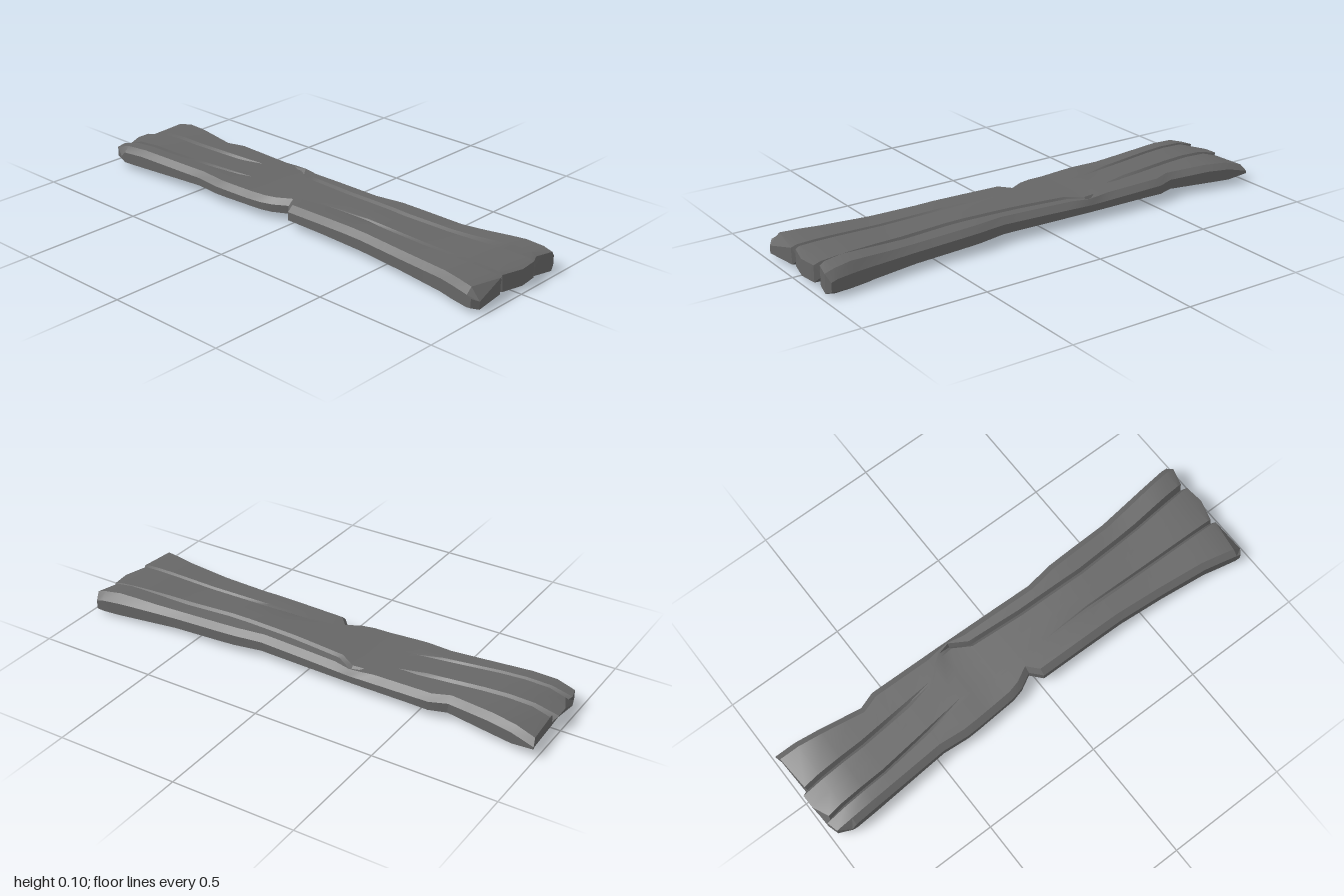
import * as THREE from 'three';
import { toCreasedNormals } from 'three/addons/utils/BufferGeometryUtils.js';

// Piecewise-linear lookup through [position, value] pairs
function curve(...pairs) {
  return t => {
    if (t <= pairs[0][0]) return pairs[0][1];
    for (let i = 1; i < pairs.length; i++) {
      const [a, va] = pairs[i - 1], [b, vb] = pairs[i];
      if (t <= b) return va + (vb - va) * (t - a) / (b - a);
    }
    return pairs[pairs.length - 1][1];
  };
}

// Outline of the plank along its length
const leftEdge = curve([-0.97, -0.2], [-0.88, -0.2], [-0.47, -0.17], [-0.35, -0.18], [-0.1, -0.163],
  [-0.02, -0.12], [0.02, -0.165], [0.4, -0.17], [0.6, -0.185], [0.8, -0.207], [0.95, -0.24]);
const rightEdge = curve([-0.97, 0.21], [-0.88, 0.2], [-0.62, 0.16], [-0.55, 0.185], [-0.22, 0.182],
  [0, 0.175], [0.2, 0.168], [0.33, 0.187], [0.6, 0.195], [0.95, 0.236]);
const topY = curve([-1, 0.07], [-0.95, 0.09], [-0.8, 0.099], [-0.55, 0.092], [-0.2, 0.085], [0, 0.09],
  [0.3, 0.095], [0.6, 0.089], [0.85, 0.092], [0.94, 0.088], [1, 0.08]);
const bottomY = curve([-1, 0.03], [-0.93, 0.018], [-0.5, 0.028], [0.2, 0.026], [0.6, 0.016], [0.9, 0.008], [1, 0.014]);

// Ragged ends: z as a function of x
const backEnd = curve([-0.2, -0.92], [-0.18, -0.97], [-0.13, -0.985], [-0.115, -0.955], [-0.095, -0.985], [0, -1],
  [0.02, -0.99], [0.032, -0.965], [0.05, -0.985], [0.12, -0.99], [0.15, -0.965], [0.2, -0.99]);
const frontEnd = curve([-0.24, 0.96], [-0.2, 0.992], [-0.09, 0.975], [-0.06, 0.95], [-0.04, 0.975],
  [0.1, 0.982], [0.13, 0.95], [0.165, 0.997], [0.235, 0.968]);

// Cracks: centre x, depth and half width along z; two on each face
const crack = (x, depth, halfWidth) => ({ x: curve(...x), depth: curve(...depth), halfWidth });
const topCracks = [
  crack([[-0.97, -0.115], [-0.7, -0.1], [-0.3, -0.05], [0, -0.06], [0.3, -0.05], [0.6, -0.055], [0.97, -0.062]],
    [[-0.95, 0.028], [-0.6, 0.02], [-0.3, 0], [0.05, 0], [0.3, 0.004], [0.5, 0.014], [0.95, 0.024]], 0.014),
  crack([[-0.97, 0.028], [-0.7, 0.038], [-0.36, 0.07], [-0.26, 0.15], [-0.2, 0.155], [-0.13, 0.112], [0.1, 0.095],
    [0.4, 0.088], [0.7, 0.103], [0.97, 0.127]],
    [[-0.95, 0.028], [-0.6, 0.02], [-0.36, 0], [-0.25, 0], [-0.2, 0.022], [0.4, 0.02], [0.95, 0.03]], 0.016),
];
const bottomCracks = [
  crack([[-0.97, -0.165], [-0.1, -0.125], [0, -0.12], [0.3, -0.09], [0.97, -0.06]],
    [[-0.1, 0], [0, 0.016], [0.9, 0.016]], 0.014),
  crack([[-0.97, -0.115], [-0.4, -0.055], [0, 0.01], [0.5, 0.075], [0.97, 0.127]],
    [[-0.97, 0.016], [0.9, 0.02]], 0.016),
];

const stations = [-1, -0.9, -0.8, -0.7, -0.62, -0.55, -0.47, -0.36, -0.3, -0.25, -0.2, -0.13, -0.08, -0.02,
  0.02, 0.1, 0.2, 0.32, 0.4, 0.5, 0.6, 0.7, 0.8, 0.87, 0.94, 1];
const COLS = 11;

// One row of points across a face: edge, shoulder, crack, middle, crack, shoulder, edge
function faceRow(t, cracks, isTop) {
  const L = leftEdge(t), R = rightEdge(t), [a, b] = cracks;
  const ax = a.x(t), bx = b.x(t), sign = isTop ? 1 : -1;
  const xs = [L, L + 0.025, ax - a.halfWidth, ax, ax + a.halfWidth * 0.4, (ax + bx) / 2,
    bx - b.halfWidth, bx, bx + b.halfWidth * 0.6, R - 0.027, R];
  const gap = 0.003;
  for (let j = 1; j < COLS; j++) xs[j] = Math.max(xs[j], xs[j - 1] + gap);
  xs[COLS - 1] = R;
  for (let j = COLS - 2; j > 0; j--) xs[j] = Math.min(xs[j], xs[j + 1] - gap);

  return xs.map((x, j) => {
    let y = isTop ? topY(t) : bottomY(t);
    if (j === 0 || j === COLS - 1) y -= sign * (isTop ? 0.022 : 0.008);
    if (j === 3) y -= sign * a.depth(t);
    if (j === 7) y -= sign * b.depth(t);
    // raised, thicker tongue at the front left corner of the board
    if (j > 7 && j < 10 && t > 0.65) y += sign * 0.013 * (1 - Math.abs(t - 0.87) / 0.22);
    // chipped front corner
    if (isTop && j === 1 && t === 1) y -= 0.035;
    const z = t === -1 ? backEnd(x) : t === 1 ? frontEnd(x) : t;
    return new THREE.Vector3(x, Math.max(y, 0), z);
  });
}

function plankGeometry() {
  const top = stations.map(t => faceRow(t, topCracks, true));
  const bottom = stations.map(t => faceRow(t, bottomCracks, false));
  const positions = [];
  const quad = (a, b, c, d) => [a, b, c, a, c, d].forEach(p => positions.push(p.x, p.y, p.z));
  const last = stations.length - 1, edge = COLS - 1;

  for (let i = 0; i < last; i++) {
    // upper and lower faces
    for (let j = 0; j < edge; j++) {
      quad(top[i][j], top[i + 1][j], top[i + 1][j + 1], top[i][j + 1]);
      quad(bottom[i][j], bottom[i][j + 1], bottom[i + 1][j + 1], bottom[i + 1][j]);
    }
    // long sides
    quad(bottom[i][0], bottom[i + 1][0], top[i + 1][0], top[i][0]);
    quad(bottom[i][edge], top[i][edge], top[i + 1][edge], bottom[i + 1][edge]);
  }
  // broken ends
  for (let j = 0; j < edge; j++) {
    quad(bottom[last][j], bottom[last][j + 1], top[last][j + 1], top[last][j]);
    quad(bottom[0][j], top[0][j], top[0][j + 1], bottom[0][j + 1]);
  }
  const geometry = new THREE.BufferGeometry();
  geometry.setAttribute('position', new THREE.Float32BufferAttribute(positions, 3));
  return toCreasedNormals(geometry, 0.45);
}

export function createModel() {
  const group = new THREE.Group();
  group.name = 'woodenPlank';
  const plank = new THREE.Mesh(plankGeometry(), new THREE.MeshStandardMaterial({ color: 0x666666 }));
  plank.name = 'weatheredBoard';
  group.add(plank);
  return group;
}
